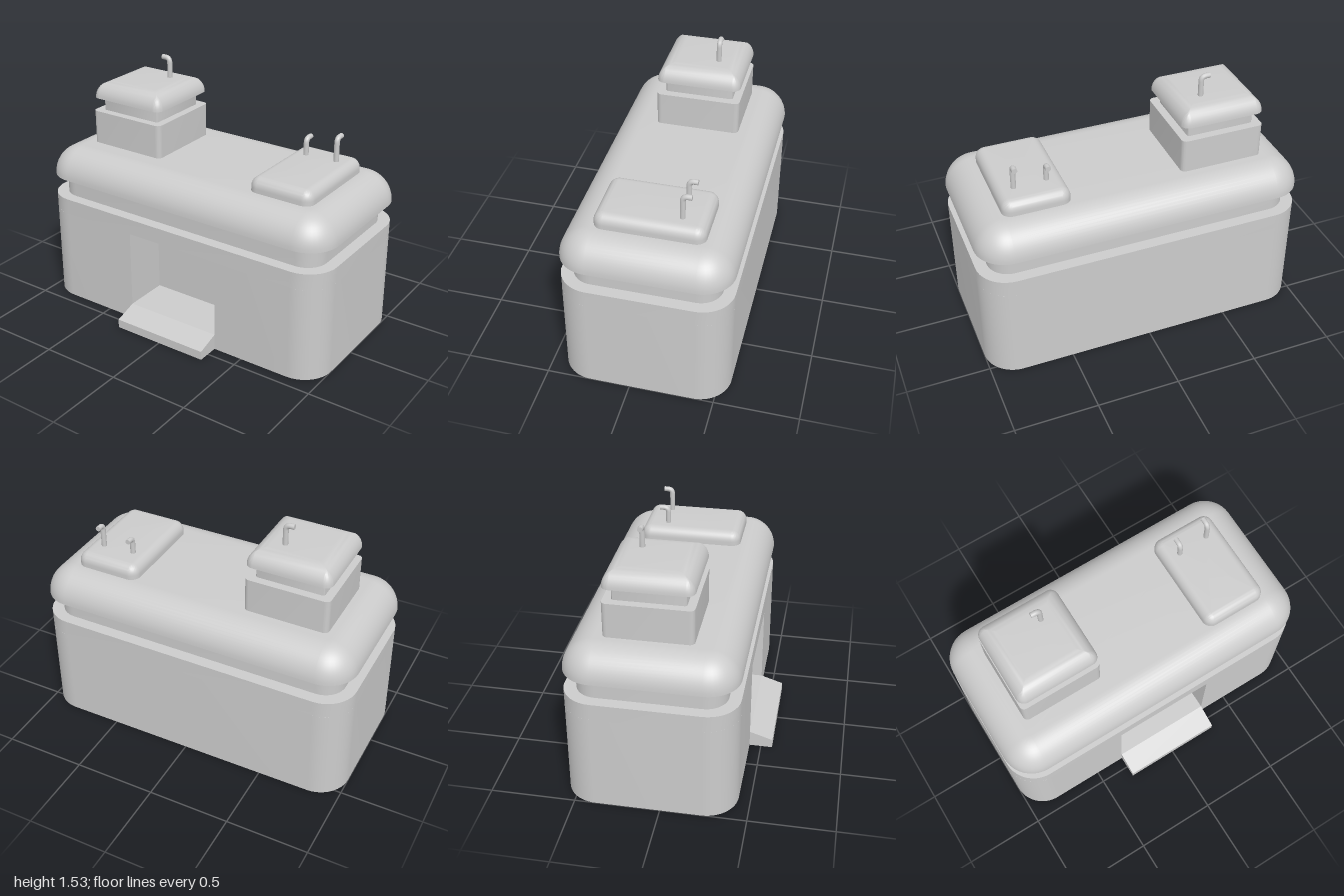
import * as THREE from 'three';
import { toCreasedNormals } from 'three/addons/utils/BufferGeometryUtils.js';

const material = new THREE.MeshStandardMaterial({ color: 0xcccccc });

function part(parent, name, geometry) {
  const mesh = new THREE.Mesh(geometry, material);
  mesh.name = name;
  parent.add(mesh);
  return mesh;
}

// Closed solid from rounded-rectangle rings; profile is [inset, y] from bottom to top
function stack(halfW, halfD, radius, profile) {
  const seg = 10, per = 4 * (seg + 1), pos = [], idx = [];
  for (const [inset, y] of profile) {
    const r = Math.max(radius - inset, 0.004);
    for (let c = 0; c < 4; c++) {
      const sx = c === 0 || c === 3 ? 1 : -1, sz = c < 2 ? 1 : -1;
      for (let i = 0; i <= seg; i++) {
        const a = (c + i / seg) * Math.PI / 2;
        pos.push(sx * (halfW - inset - r) + r * Math.cos(a), y,
          sz * (halfD - inset - r) + r * Math.sin(a));
      }
    }
  }
  const last = profile.length - 1, bottom = pos.length / 3, top = bottom + 1;
  pos.push(0, profile[0][1], 0, 0, profile[last][1], 0);
  for (let i = 0; i < per; i++) {
    const j = (i + 1) % per;
    for (let k = 0; k < last; k++) {
      const a = k * per + i, b = k * per + j;
      idx.push(a, a + per, b, b, a + per, b + per);
    }
    idx.push(bottom, i, j, top, last * per + j, last * per + i);
  }
  const g = new THREE.BufferGeometry();
  g.setAttribute('position', new THREE.Float32BufferAttribute(pos, 3));
  g.setIndex(idx);
  return toCreasedNormals(g, 0.7);
}

const wall = (y0, y1) => [[0, y0], [0, y1]];

// Quarter-ellipse shoulder from y0 to y1, moving inward by inset
function dome(y0, y1, inset, steps = 10) {
  return Array.from({ length: steps + 1 }, (_, i) => {
    const a = i / steps * Math.PI / 2;
    return [inset * (1 - Math.cos(a)), y0 + (y1 - y0) * Math.sin(a)];
  });
}

// Lower walls with the doorway cut into the front
function lowerWalls(w, zBack, zFront, r, height, doorW, doorBack) {
  const s = new THREE.Shape(), f = -zFront, b = -zBack, h = Math.PI / 2;
  s.moveTo(-w + r, f);
  s.lineTo(-doorW, f);
  s.lineTo(-doorW, -doorBack);
  s.lineTo(doorW, -doorBack);
  s.lineTo(doorW, f);
  s.lineTo(w - r, f);
  s.absarc(w - r, f + r, r, -h, 0);
  s.absarc(w - r, b - r, r, 0, h);
  s.absarc(-w + r, b - r, r, h, 2 * h);
  s.absarc(-w + r, f + r, r, 2 * h, 3 * h);
  const g = new THREE.ExtrudeGeometry(s, { depth: height, bevelEnabled: false, curveSegments: 10 });
  return toCreasedNormals(g.rotateX(-h), 0.6);
}

// Upright pipe with a short bent end pointing along (dx, dz)
function pipe(parent, name, x, z, y0, y1, dx, dz) {
  const r = 0.016, bend = 0.03, yc = y1 - r, reach = 0.052;
  const at = (d, y) => new THREE.Vector3(x + dx * d, y, z + dz * d);
  const path = new THREE.CurvePath();
  path.add(new THREE.LineCurve3(at(0, y0), at(0, yc - bend)));
  path.add(new THREE.QuadraticBezierCurve3(at(0, yc - bend), at(0, yc), at(bend, yc)));
  path.add(new THREE.LineCurve3(at(bend, yc), at(reach, yc)));
  const group = new THREE.Group();
  group.name = name;
  parent.add(group);
  part(group, 'pipeTube', new THREE.TubeGeometry(path, 40, r, 12));
  const end = part(group, 'pipeEnd', new THREE.CircleGeometry(r, 12));
  end.position.copy(at(reach, yc));
  end.rotation.y = Math.atan2(dx, dz);
}

export function createModel() {
  const model = new THREE.Group();
  model.name = 'building';

  // Main block
  const main = new THREE.Group();
  main.name = 'mainBlock';
  model.add(main);
  part(main, 'lowerWalls', lowerWalls(1, -0.57, 0.43, 0.19, 0.59, 0.313, 0.15));
  const layers = [
    ['upperWalls', stack(1, 0.5, 0.19, wall(0.59, 0.69))],
    ['windowBand', stack(0.93, 0.43, 0.13, wall(0.69, 0.82))],
    ['mainRoof', stack(1, 0.5, 0.19, dome(0.82, 1, 0.18, 14))],
  ];
  for (const [name, g] of layers) part(main, name, g).position.z = -0.07;

  // Doorway floor and sloping ramp
  const side = new THREE.Shape([[0.15, 0], [0.57, 0], [0.57, 0.055], [0.43, 0.1], [0.15, 0.1]]
    .map(([z, y]) => new THREE.Vector2(z, y)));
  const ramp = new THREE.ExtrudeGeometry(side, { depth: 0.626, bevelEnabled: false });
  part(model, 'entranceRamp', ramp.rotateY(-Math.PI / 2).translate(0.313, 0, 0));

  // Roof tower
  const tower = new THREE.Group();
  tower.name = 'tower';
  tower.position.set(-0.535, 0, -0.093);
  model.add(tower);
  part(tower, 'towerWalls', stack(0.257, 0.257, 0.03, wall(0.98, 1.21)));
  part(tower, 'towerWindowBand', stack(0.208, 0.208, 0.015, wall(1.21, 1.3)));
  part(tower, 'towerRoof', stack(0.257, 0.257, 0.05, dome(1.295, 1.395, 0.1)));

  // Low raised roof slab
  const slab = stack(0.203, 0.318, 0.06, [[0, 0.98], ...dome(1.025, 1.085, 0.055)]);
  part(model, 'roofSlab', slab).position.set(0.612, 0, -0.073);

  // Vent pipes
  pipe(model, 'towerPipe', -0.452, -0.186, 1.37, 1.535, -1, 0);
  pipe(model, 'shortPipe', 0.514, -0.232, 1.06, 1.202, 0, -1);
  pipe(model, 'tallPipe', 0.71, -0.243, 1.06, 1.245, 0, -1);

  return model;
}
